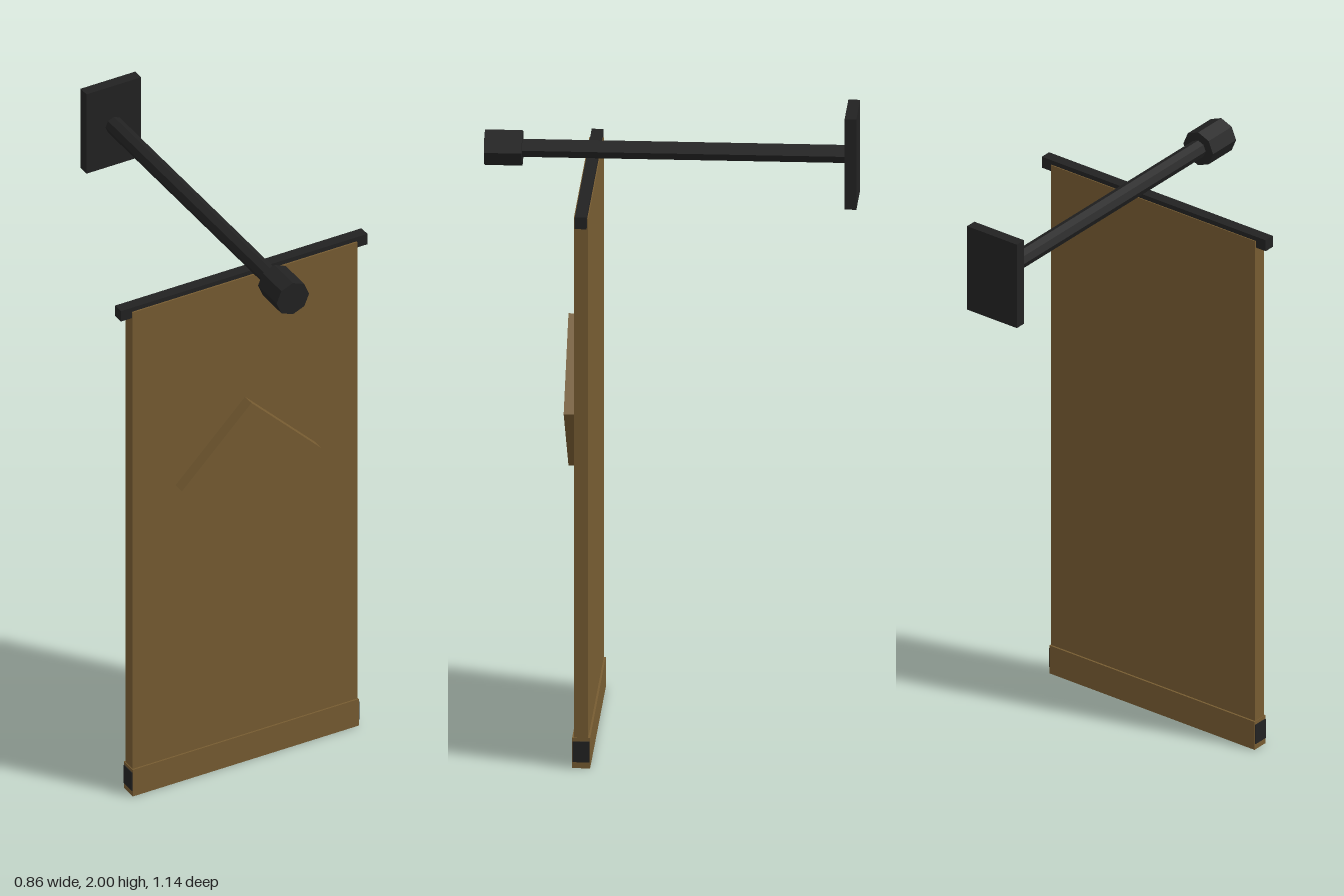
import * as THREE from 'three';

export function createModel() {
  const model = new THREE.Group();
  model.name = 'hangingBanner';

  const cloth = new THREE.MeshStandardMaterial({ color: 0x775c32 });
  cloth.name = 'ochre cloth';
  const iron = new THREE.MeshStandardMaterial({ color: 0x222222 });
  iron.name = 'dark iron';
  iron.flatShading = true;

  const add = (name, geometry, material, x, y, z) => {
    const mesh = new THREE.Mesh(geometry, material);
    mesh.name = name;
    mesh.position.set(x, y, z);
    model.add(mesh);
    return mesh;
  };
  // Box given by half width and its y and z ranges
  const box = (name, material, hx, y0, y1, z0, z1) =>
    add(name, new THREE.BoxGeometry(hx * 2, y1 - y0, z1 - z0), material,
      0, (y0 + y1) / 2, (z0 + z1) / 2);
  // Octagonal rod along z
  const rod = (name, radius, z0, z1) => {
    const geometry = new THREE.CylinderGeometry(radius, radius, z1 - z0, 8);
    geometry.rotateX(Math.PI / 2);
    return add(name, geometry, iron, 0, 1.857, (z0 + z1) / 2);
  };

  // Wall bracket
  box('wallPlate', iron, 0.096, 1.71, 2, -0.57, -0.534);
  rod('pole', 0.029, -0.54, 0.46);
  rod('poleCap', 0.057, 0.455, 0.57);

  // Banner with its top bar, bottom hem and weight bar
  box('bannerCloth', cloth, 0.394, 0.02, 1.765, 0.231, 0.275);
  box('topBar', iron, 0.432, 1.742, 1.78, 0.234, 0.27);
  box('bottomHem', cloth, 0.396, 0, 0.097, 0.225, 0.28);
  box('weightBar', iron, 0.399, 0.02, 0.086, 0.227, 0.278);

  // Raised diamond on the front
  const side = 0.244 * Math.SQRT2;
  add('diamond', new THREE.BoxGeometry(side, side, 0.05), cloth, 0, 1.085, 0.29)
    .rotation.z = Math.PI / 4;

  return model;
}
